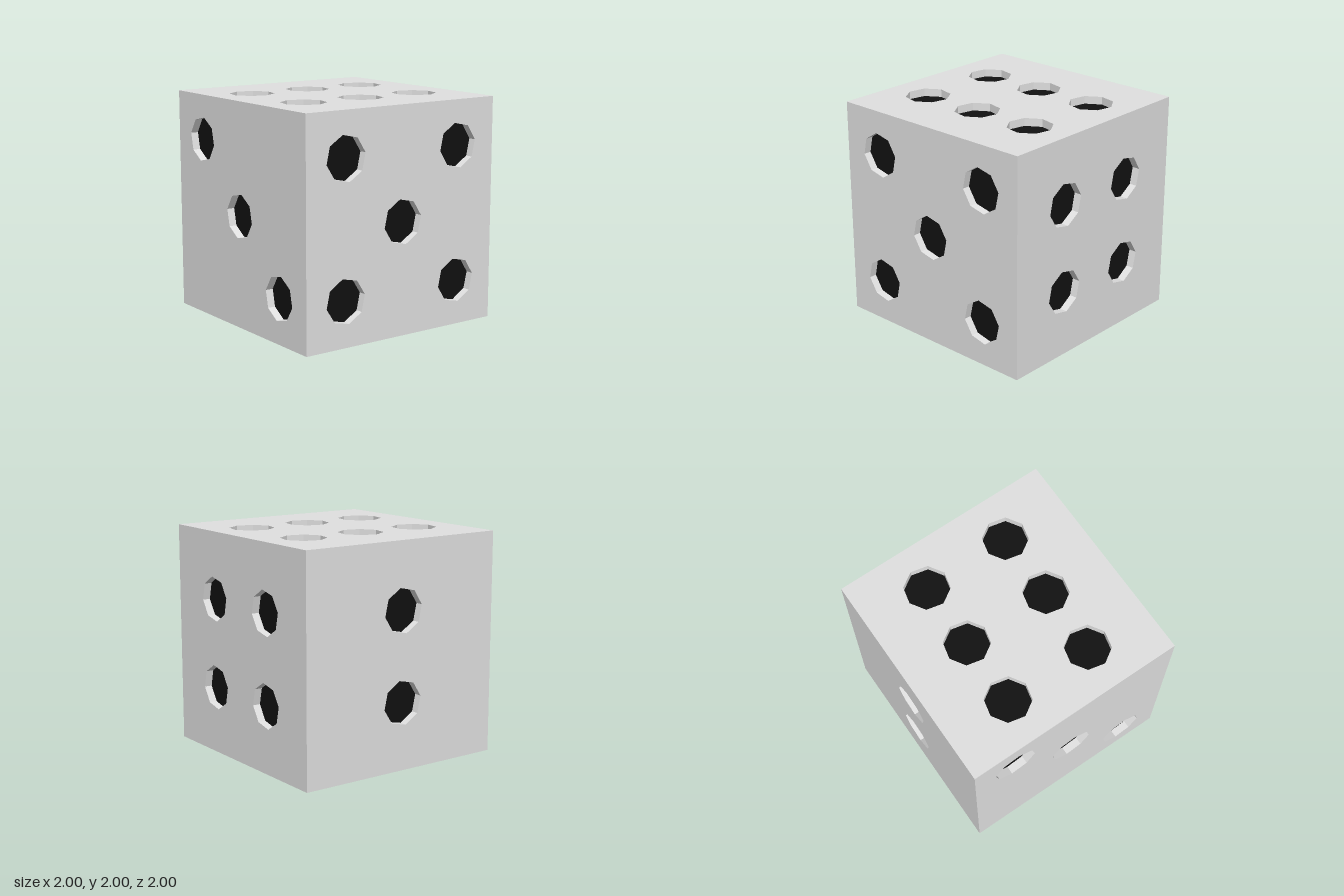
import * as THREE from 'three';

const SIDES = 8, RADIUS = 0.2, DEPTH = 0.07;

export function createModel() {
  const body = new THREE.MeshStandardMaterial({ color: 0xe0e0e0, flatShading: true, side: THREE.DoubleSide });
  body.name = 'light grey body';
  const black = new THREE.MeshStandardMaterial({ color: 0x111111 });
  black.name = 'black pip';

  const add = (parent, name, geometry, material) => {
    const mesh = new THREE.Mesh(geometry, material);
    mesh.name = name;
    parent.add(mesh);
    return mesh;
  };

  // One square face with sunken octagonal pips, looking along +z
  const makeFace = (name, pips, twist) => {
    const face = new THREE.Group();
    face.name = name;
    const square = new THREE.Shape([[-1, -1], [1, -1], [1, 1], [-1, 1]].map(([x, y]) => new THREE.Vector2(x, y)));
    const wall = new THREE.CylinderGeometry(RADIUS, RADIUS, DEPTH, SIDES, 1, true).rotateX(Math.PI / 2).rotateZ(twist);
    const floor = new THREE.CircleGeometry(RADIUS, SIDES).rotateZ(twist);
    for (const [u, v] of pips) {
      const rim = [];
      for (let i = 0; i < SIDES; i++) {
        const a = twist - (i / SIDES) * Math.PI * 2;
        rim.push(new THREE.Vector2(u + RADIUS * Math.cos(a), v + RADIUS * Math.sin(a)));
      }
      square.holes.push(new THREE.Path(rim));
      add(face, 'pipWall', wall, body).position.set(u, v, 1 - DEPTH / 2);
      add(face, 'pipFloor', floor, black).position.set(u, v, 1 - DEPTH);
    }
    add(face, 'facePanel', new THREE.ShapeGeometry(square), body).position.z = 1;
    return face;
  };

  // Pip layouts
  const a = 0.6, b = 0.4;
  const one = [[0, 0]];
  const two = [[0, b], [0, -b]];
  const three = [[-a, a], [0, 0], [a, -a]];
  const four = [[-b, b], [b, b], [-b, -b], [b, -b]];
  const five = [[-a, a], [a, a], [0, 0], [-a, -a], [a, -a]];
  const six = [-a, 0, a].flatMap((v) => [[-b, v], [b, v]]);

  // Six faces turned into a cube: name, pips, twist, rotation about x and y
  const q = Math.PI / 2, t = THREE.MathUtils.degToRad(10);
  const model = new THREE.Group();
  model.name = 'die';
  for (const [name, pips, twist, rx, ry] of [
    ['frontFace', three, -t, 0, 0],
    ['leftFace', five, t, 0, q],
    ['backFace', four, t, 0, 2 * q],
    ['rightFace', two, t, 0, -q],
    ['topFace', six, t, -q, 0],
    ['bottomFace', one, t, q, 0],
  ]) {
    const face = makeFace(name, pips, twist);
    face.rotation.set(rx, ry, 0);
    face.position.y = 1;
    model.add(face);
  }
  return model;
}
